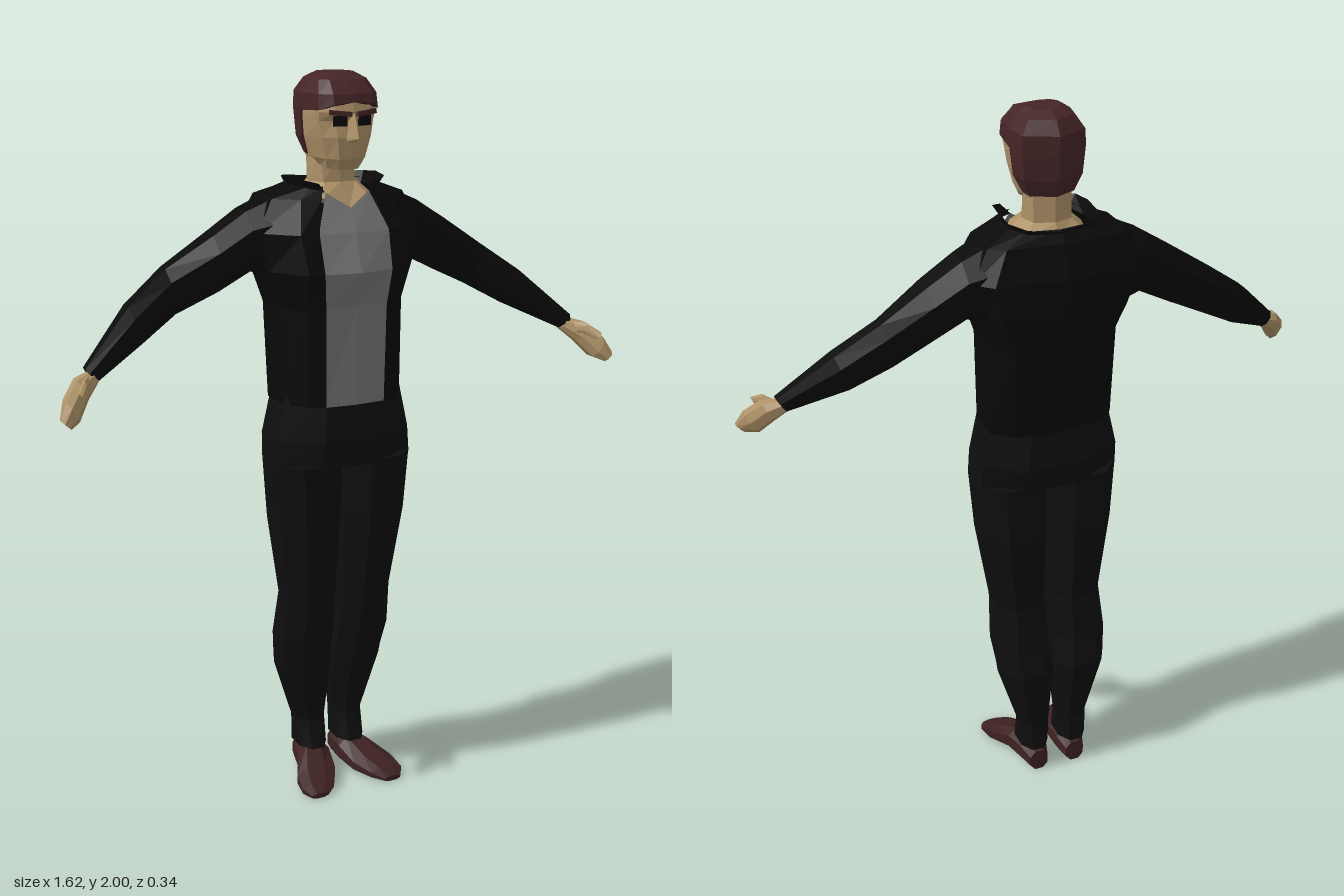
import * as THREE from 'three';

const mat = (name, color, extra = {}) => {
  const m = new THREE.MeshStandardMaterial({ color, ...extra });
  m.name = name;
  return m;
};

// Faceted skin over rings of [x, y, z]; rings run anticlockwise about the path.
function loft(rings, { open = false, caps = true, mirror = false } = {}) {
  if (mirror) rings = rings.map(r => r.map(([x, y, z]) => [-x, y, z]).reverse());
  const pos = [];
  const tri = (a, b, c) => pos.push(...a, ...b, ...c);
  const n = rings[0].length;
  for (let i = 0; i < rings.length - 1; i++) {
    for (let j = 0; j < (open ? n - 1 : n); j++) {
      const k = (j + 1) % n, lo = rings[i], hi = rings[i + 1];
      tri(lo[j], lo[k], hi[k]);
      tri(lo[j], hi[k], hi[j]);
    }
  }
  if (caps && !open) {
    const a = rings[0], b = rings[rings.length - 1];
    for (let j = 1; j < n - 1; j++) {
      tri(a[0], a[j + 1], a[j]);
      tri(b[0], b[j], b[j + 1]);
    }
  }
  const g = new THREE.BufferGeometry();
  g.setAttribute('position', new THREE.Float32BufferAttribute(pos, 3));
  g.computeVertexNormals();
  return g;
}

// Symmetric ring at height y from front-to-back points [x, z, dy].
function sym(y, ...half) {
  const left = half.map(([x, z, dy = 0]) => [x, y + dy, z]);
  const right = left.filter(p => p[0] > 0).map(([x, h, z]) => [-x, h, z]).reverse();
  return [...left, ...right];
}

// Chamfered-square outline in u, v.
const OCT = [[1, .45], [.45, 1], [-.45, 1], [-1, .45], [-1, -.45], [-.45, -1], [.45, -1], [1, -.45]];
const mix = (lo, hi, t) => lo + (hi - lo) * (t + 1) / 2;
const limbRing = ([xT, yT, xB, yB, zF, zB]) =>
  OCT.map(([u, v]) => [mix(xB, xT, u), mix(yB, yT, u), mix(zB, zF, v)]);
const legRing = ([y, xI, xO, zF, zB]) => OCT.map(([u, v]) => [mix(xI, xO, v), y, mix(zB, zF, u)]);
const shoeRing = ([z, xI, xO, top]) => OCT.map(([u, v]) => [mix(xI, xO, u), mix(0, top, v), z]);

export function createModel() {
  const group = new THREE.Group();
  const jacket = mat('jacket black', 0x090909, { side: THREE.DoubleSide });
  const trousers = mat('trouser black', 0x0e0e0e);
  const shirt = mat('shirt grey', 0x777777, { side: THREE.DoubleSide });
  const skin = mat('skin', 0xae9268);
  const hair = mat('hair brown', 0x452526);
  const leather = mat('shoe brown', 0x3e2122);
  const dark = mat('eye black', 0x0a0606);

  const add = (name, geometry, material) => {
    const m = new THREE.Mesh(geometry, material);
    m.name = name;
    group.add(m);
    return m;
  };
  const pair = (name, rings, material) => {
    add('left' + name, loft(rings), material);
    add('right' + name, loft(rings, { mirror: true }), material);
  };

  // Open jacket, wrapping from one front edge around the back to the other
  add('jacketBody', loft([
    sym(1.14, [.085, .132], [.13, .11], [.175, .05], [.175, -.05], [.12, -.1], [0, -.115]),
    sym(1.40, [.088, .138], [.13, .122], [.178, .05], [.178, -.07], [.13, -.135], [0, -.152]),
    sym(1.50, [.097, .152], [.14, .147], [.21, .05], [.21, -.08], [.17, -.15], [0, -.166]),
    sym(1.60, [.10, .124], [.15, .118], [.235, .035], [.235, -.11], [.19, -.153], [0, -.174]),
    sym(1.685, [.078, .09], [.13, .075], [.19, .025], [.19, -.1], [.15, -.128], [0, -.14]),
    sym(1.715, [.065, .07], [.095, .055], [.112, 0], [.112, -.06], [.085, -.1], [0, -.115]),
  ], { open: true }), jacket);

  // Flared collar
  add('collar', loft([
    sym(1.70, [.062, .075], [.095, .055], [.11, 0], [.11, -.06], [.085, -.1], [0, -.115]),
    sym(1.725, [.085, .088], [.115, .065, .008], [.123, 0, .012], [.122, -.07, .005], [.09, -.12], [0, -.135, -.01]),
  ], { open: true }), jacket);

  // Shirt panel with a V neckline
  const shirtRow = (y, x, z, zMid, dip = 0) => [[-x, y, z], [0, y - dip, zMid], [x, y, z]];
  add('shirt', loft([
    shirtRow(1.14, .087, .13, .137), shirtRow(1.41, .09, .136, .136),
    shirtRow(1.50, .099, .15, .166), shirtRow(1.60, .102, .122, .132),
    shirtRow(1.70, .062, .08, .102, .04),
  ], { open: true }), shirt);

  // Sleeves
  pair('Sleeve', [
    [.15, 1.695, .17, 1.47, .07, -.135], [.25, 1.652, .24, 1.495, .037, -.12],
    [.34, 1.595, .33, 1.448, .03, -.11], [.465, 1.515, .44, 1.395, -.008, -.095],
    [.58, 1.432, .545, 1.335, .027, -.06], [.718, 1.302, .692, 1.263, .08, .033],
  ].map(limbRing), jacket);

  // Hands
  pair('Hand', [
    [.70, 1.295, .685, 1.265, .076, .038], [.75, 1.283, .722, 1.232, .115, .05],
    [.79, 1.242, .757, 1.188, .15, .085], [.81, 1.2, .785, 1.176, .16, .13],
  ].map(limbRing), skin);
  pair('Thumb', [
    [.715, 1.285, .71, 1.25, .09, .06], [.737, 1.287, .73, 1.258, .13, .098],
    [.762, 1.265, .75, 1.245, .168, .14],
  ].map(limbRing), skin);

  // Hips and trouser legs
  add('hips', loft([
    [.965, -.2, .2, .125, -.097], [1.04, -.195, .195, .132, -.118], [1.16, -.17, .17, .122, -.105],
  ].map(legRing)), trousers);
  pair('Leg', [
    [.08, .018, .102, .02, -.112], [.16, .016, .102, -.008, -.102], [.33, .004, .152, .025, -.122],
    [.36, .005, .154, .035, -.126], [.44, .01, .164, .057, -.108], [.57, .014, .155, .086, -.086],
    [.8, .008, .188, .115, -.095], [.975, .004, .2, .125, -.097],
  ].map(legRing), trousers);

  // Shoes, toes turned outwards
  pair('Shoe', [
    [-.106, .03, .085, .065], [-.06, .018, .1, .088], [0, .016, .115, .085],
    [.07, .03, .15, .052], [.125, .06, .157, .032], [.152, .09, .14, .014],
  ].map(shoeRing), leather);

  // Neck, spreading into the open neckline
  add('neck', loft([
    sym(1.685, [0, .09, -.035], [.065, .073], [.105, 0], [.085, -.085], [0, -.105]),
    sym(1.72, [0, .04], [.045, .033], [.066, -.01], [.052, -.06], [0, -.08]),
    sym(1.80, [0, .035], [.05, .02], [.062, -.02], [.052, -.06], [0, -.08]),
  ]), skin);

  // Head
  add('head', loft([
    sym(1.757, [0, .088], [.028, .082], [.046, .055], [.05, .02, .008], [.045, -.03, .015], [0, -.06, .02]),
    sym(1.785, [0, .108], [.033, .1], [.056, .07], [.066, .01], [.06, -.05], [0, -.08]),
    sym(1.84, [0, .116], [.04, .107], [.07, .075], [.083, 0], [.075, -.06], [0, -.09]),
    sym(1.882, [0, .112], [.045, .1], [.078, .072], [.087, 0], [.08, -.06], [0, -.095]),
    sym(1.905, [0, .119], [.05, .111], [.08, .08], [.088, 0], [.08, -.06], [0, -.095]),
    sym(1.95, [0, .108], [.05, .1], [.076, .07], [.084, 0], [.078, -.06], [0, -.09]),
  ]), skin);
  add('nose', loft([
    sym(1.83, [0, .128], [.02, .106]),
    sym(1.84, [0, .146], [.02, .108]),
    sym(1.9, [0, .122], [.009, .108]),
  ]), skin);

  // Hair: crown and the back of the head
  add('hairCrown', loft([
    sym(1.905, [0, .123, .025], [.055, .117, .02], [.085, .085, .005], [.094, 0], [.085, -.07], [0, -.11]),
    sym(1.95, [0, .118], [.055, .11], [.082, .08], [.092, 0], [.083, -.07], [0, -.109]),
    sym(1.984, [0, .085], [.05, .078], [.068, .05], [.072, 0], [.062, -.055], [0, -.085]),
    sym(2.0, [0, .04], [.03, .036], [.045, .02], [.045, 0], [.035, -.035], [0, -.05]),
  ]), hair);
  add('hairBack', loft([
    sym(1.79, [0, -.02], [.066, -.022], [.06, -.058], [0, -.088]),
    sym(1.835, [0, -.01], [.087, -.012], [.079, -.066], [0, -.104]),
    sym(1.91, [0, -.005], [.094, -.005], [.085, -.07], [0, -.11]),
  ]), hair);

  // Eyes and brows
  for (const s of [-1, 1]) {
    const side = s > 0 ? 'left' : 'right';
    const eye = add(side + 'Eye', new THREE.BoxGeometry(.036, .026, .009), dark);
    eye.position.set(s * .034, 1.883, .108);
    eye.rotation.y = s * .2;
    const brow = add(side + 'Brow', new THREE.BoxGeometry(.058, .012, .014), hair);
    brow.position.set(s * .036, 1.903, .114);
    brow.rotation.set(0, s * .2, s * .1);
  }
  return group;
}
